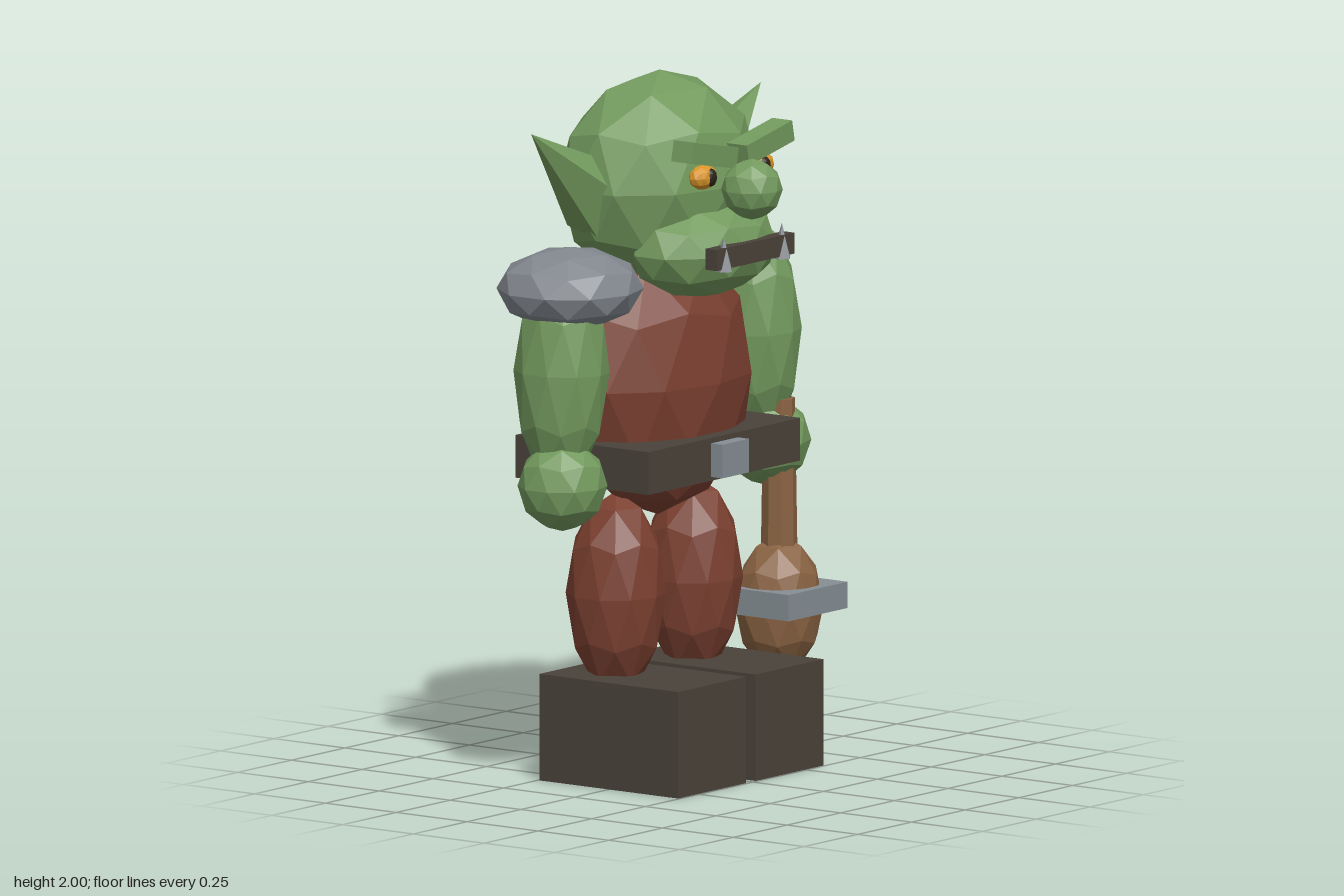
import * as THREE from 'three';

const mat = (name, color) => {
  const m = new THREE.MeshStandardMaterial({ color });
  m.name = name;
  return m;
};

// Give every facet its own normal
const faceted = (geo) => {
  const g = geo.index ? geo.toNonIndexed() : geo;
  g.computeVertexNormals();
  return g;
};

export function createModel() {
  const skin = mat('green skin', 0x739a5e);
  const cloth = mat('rust cloth', 0x7b4030);
  const leather = mat('dark leather', 0x4a423a);
  const steel = mat('steel', 0x868e94);
  const iron = mat('worn iron', 0x82878e);
  const wood = mat('wood', 0x8a6342);
  const amber = mat('amber eye', 0xd9952a);
  const black = mat('pupil black', 0x2a2218);

  const model = new THREE.Group();
  model.name = 'ogre';

  // Faceted ball with a vertex at each pole
  const ball = faceted(
    new THREE.IcosahedronGeometry(1, 1).rotateZ(-Math.atan2(1, (1 + Math.sqrt(5)) / 2))
  );

  const add = (name, geo, material, pos, parent = model) => {
    const m = new THREE.Mesh(geo, material);
    m.name = name;
    m.position.set(...pos);
    parent.add(m);
    return m;
  };
  const blob = (name, material, pos, size, parent) => {
    const m = add(name, ball, material, pos, parent);
    m.scale.set(...size);
    return m;
  };
  const box = (name, material, pos, size, parent) =>
    add(name, new THREE.BoxGeometry(...size), material, pos, parent);

  // Body
  blob('torso', cloth, [0, 1.125, -0.085], [0.343, 0.395, 0.22]);
  box('belt', leather, [-0.003, 0.92, -0.083], [0.706, 0.122, 0.47]);
  box('buckle', steel, [-0.003, 0.918, 0.167], [0.124, 0.096, 0.05]);

  // Head and face
  const head = new THREE.Group();
  head.name = 'head';
  model.add(head);
  blob('skull', skin, [0, 1.69, -0.08], [0.333, 0.31, 0.255], head);
  blob('jaw', skin, [0, 1.512, 0.075], [0.262, 0.143, 0.175], head);
  blob('nose', skin, [0, 1.693, 0.247], [0.087, 0.087, 0.087], head);
  box('mouth', leather, [0, 1.515, 0.24], [0.36, 0.06, 0.04], head);

  // Mirrored parts
  for (const s of [1, -1]) {
    const side = s > 0 ? 'left' : 'right';

    // Eyes, brows and tusks
    blob(side + 'Eye', amber, [s * 0.132, 1.738, 0.175], [0.052, 0.036, 0.033], head);
    blob(side + 'Pupil', black, [s * 0.125, 1.738, 0.198], [0.021, 0.026, 0.014], head);
    const brow = box(side + 'Brow', skin, [s * 0.13, 1.803, 0.18], [0.215, 0.06, 0.07], head);
    brow.rotation.z = s * 0.2;
    add(side + 'Tusk', faceted(new THREE.ConeGeometry(0.029, 0.1, 5)), iron,
      [s * 0.135, 1.528, 0.25], head);

    // Pointed ear: a cone aimed from inside the skull to the tip
    const tip = new THREE.Vector3(s * 0.535, 1.885, -0.127);
    const root = new THREE.Vector3(s * 0.215, 1.64, -0.11);
    const axis = tip.clone().sub(root);
    const ear = add(side + 'Ear', faceted(new THREE.ConeGeometry(0.125, axis.length(), 5)), skin,
      root.clone().lerp(tip, 0.5).toArray(), head);
    ear.quaternion.setFromUnitVectors(new THREE.Vector3(0, 1, 0), axis.normalize());

    // Arms
    const arm = blob(side + 'Arm', skin, [s * 0.447, 1.2, -0.086], [0.131, 0.325, 0.138]);
    arm.rotation.z = s * 0.035;
    blob(side + 'Hand', skin, [s * 0.474, 0.88, -0.062], [0.13, 0.13, 0.125]);

    // Legs and boots
    blob(side + 'Leg', cloth, [s * 0.179 - 0.003, 0.53, -0.095], [0.141, 0.29, 0.142]);
    box(side + 'Boot', leather, [s * 0.18 - 0.003, 0.152, 0], [0.315, 0.304, 0.49]);
  }

  // Shoulder guard on one side only
  blob('shoulderGuard', iron, [-0.398, 1.43, -0.093], [0.212, 0.117, 0.205]);

  // Club held head down
  const club = new THREE.Group();
  club.name = 'club';
  club.position.set(0.468, 0, -0.012);
  model.add(club);
  add('clubHandle', faceted(new THREE.CylinderGeometry(0.045, 0.052, 0.44, 8)), wood,
    [0, 0.785, 0], club);
  blob('clubHead', wood, [0, 0.415, 0], [0.129, 0.2, 0.123], club);
  box('clubBand', steel, [0, 0.437, 0], [0.275, 0.075, 0.275], club);

  return model;
}
